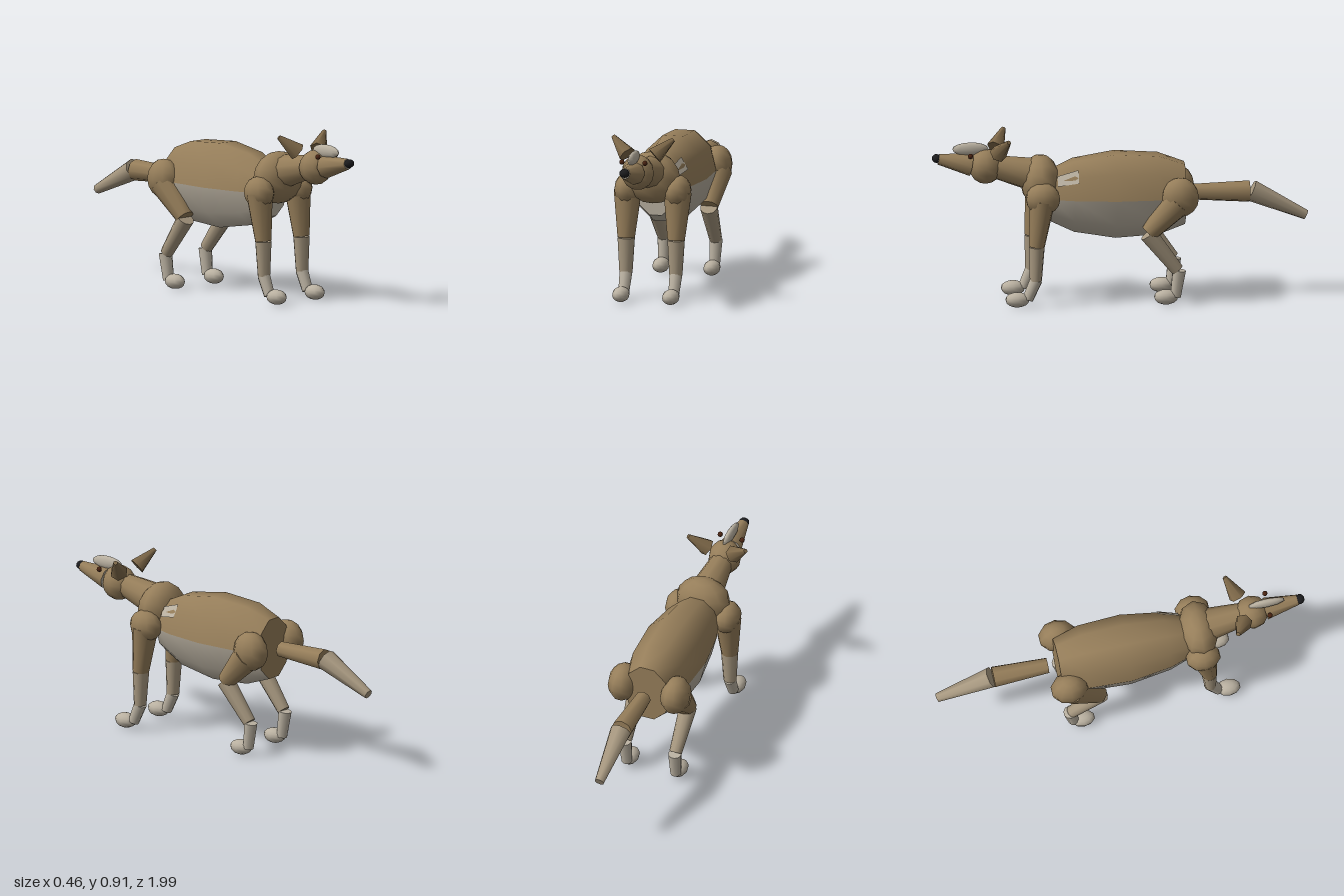
import * as THREE from 'three';

const mat = (color, side = THREE.FrontSide) => new THREE.MeshStandardMaterial({ color, side });
const tan = mat(0x967e5a), mid = mat(0xa6977f), pale = mat(0xbab1a1);
const earBrown = mat(0x806a4a), black = mat(0x1c1c1e), eyeBrown = mat(0x4a2412);
const V = (x, y, z) => new THREE.Vector3(x, y, z);

function add(parent, name, geometry, material) {
  const mesh = new THREE.Mesh(geometry, material);
  mesh.name = name;
  parent.add(mesh);
  return mesh;
}

// Ellipsoid with few sides
function ball(parent, name, material, c, r, ws = 10, hs = 8) {
  const m = add(parent, name, new THREE.SphereGeometry(1, ws, hs), material);
  m.position.set(...c);
  m.scale.set(...r);
  return m;
}

// Tapered limb from point a (radius ra) to point b (radius rb)
function limb(parent, name, material, a, b, ra, rb, sides = 10, sx = 1) {
  const p = V(...a), q = V(...b), d = q.clone().sub(p);
  const m = add(parent, name, new THREE.CylinderGeometry(rb, ra, d.length(), sides), material);
  m.position.copy(p).add(q).multiplyScalar(0.5);
  m.quaternion.setFromUnitVectors(V(0, 1, 0), d.normalize());
  m.scale.x = sx;
  return m;
}

// Slice of the barrel: rings are [z, rx, ry], angles in degrees from the left side
function barrel(parent, name, material, rings, from, to, n) {
  const pos = [], idx = [];
  rings.forEach(([z, rx, ry], i) => {
    for (let j = 0; j <= n; j++) {
      const t = THREE.MathUtils.degToRad(from + (to - from) * j / n);
      pos.push(rx * Math.cos(t), 0.575 + ry * Math.sin(t), z);
      if (i < rings.length - 1 && j < n) {
        const a = i * (n + 1) + j, c = a + n + 1;
        idx.push(a, c, a + 1, a + 1, c, c + 1);
      }
    }
  });
  const g = new THREE.BufferGeometry();
  g.setAttribute('position', new THREE.Float32BufferAttribute(pos, 3));
  g.setIndex(idx);
  g.computeVertexNormals();
  return add(parent, name, g, material);
}

function barrelCap(parent, name, material, [z, rx, ry], back) {
  const m = add(parent, name, new THREE.CircleGeometry(1, 10), material);
  m.position.set(0, 0.575, z);
  m.scale.set(rx, ry, 1);
  if (back) m.rotation.y = Math.PI;
}

export function createModel() {
  const model = new THREE.Group();
  model.name = 'dog';

  // Torso: tan back, pale belly, end caps and a small flank patch
  const rings = [[0.37, 0.11, 0.142], [0.25, 0.15, 0.2], [0.03, 0.182, 0.237],
    [-0.2, 0.172, 0.222], [-0.34, 0.13, 0.17]];
  barrel(model, 'back', tan, rings, 0, 180, 5);
  barrel(model, 'belly', pale, rings, 180, 360, 5);
  barrelCap(model, 'chestCap', pale, rings[0], false);
  barrelCap(model, 'rumpCap', tan, rings[4], true);
  barrel(model, 'flankPatch', pale, [[0.34, 0.126, 0.157], [0.23, 0.157, 0.205]], 27, 50, 1);

  // Chest and neck
  ball(model, 'chest', tan, [0, 0.655, 0.425], [0.152, 0.14, 0.107]);
  limb(model, 'neck', tan, [0, 0.69, 0.46], [0, 0.735, 0.66], 0.09, 0.063);

  // Head
  const head = new THREE.Group();
  head.name = 'head';
  model.add(head);
  ball(head, 'skull', tan, [0, 0.74, 0.715], [0.088, 0.093, 0.092]);
  limb(head, 'muzzle', tan, [0, 0.75, 0.79], [0, 0.783, 0.965], 0.062, 0.029, 8).material = [tan, pale, pale];
  ball(head, 'nose', black, [0, 0.787, 0.975], [0.028, 0.023, 0.025]);
  ball(head, 'blaze', pale, [0, 0.834, 0.795], [0.02, 0.036, 0.1]);

  // Tail
  limb(model, 'tailBase', tan, [0, 0.578, -0.39], [0, 0.575, -0.685], 0.043, 0.058, 8);
  limb(model, 'tailTip', mid, [0, 0.578, -0.695], [0, 0.44, -0.985], 0.058, 0.026, 8);

  for (const s of [1, -1]) {
    const side = s > 0 ? 'left' : 'right';

    // Eye and ear
    ball(head, side + 'Eye', eyeBrown, [s * 0.063, 0.81, 0.8], [0.014, 0.014, 0.014]);
    limb(head, side + 'Ear', earBrown, [s * 0.075, 0.822, 0.655], [s * 0.165, 0.905, 0.605], 0.048, 0.012, 6);

    // Front leg
    const front = new THREE.Group();
    front.name = side + 'FrontLeg';
    model.add(front);
    const x = s * 0.137;
    ball(front, 'shoulder', tan, [x, 0.588, 0.422], [0.073, 0.085, 0.094]);
    limb(front, 'upperArm', tan, [x, 0.58, 0.425], [x, 0.33, 0.455], 0.068, 0.042, 10, 1.1);
    limb(front, 'forearm', mid, [x, 0.328, 0.455], [x, 0.145, 0.46], 0.042, 0.032, 10, 1.1);
    limb(front, 'pastern', pale, [x, 0.148, 0.458], [x, 0.045, 0.503], 0.034, 0.029);
    ball(front, 'paw', pale, [x, 0.043, 0.558], [0.046, 0.04, 0.065]);

    // Hind leg
    const hind = new THREE.Group();
    hind.name = side + 'HindLeg';
    model.add(hind);
    const hx = s * 0.15;
    ball(hind, 'hip', tan, [hx, 0.585, -0.305], [0.08, 0.105, 0.102]);
    limb(hind, 'thigh', tan, [hx, 0.56, -0.29], [hx, 0.395, -0.14], 0.082, 0.048);
    limb(hind, 'shank', mid, [hx, 0.39, -0.135], [s * 0.143, 0.19, -0.29], 0.047, 0.034);
    limb(hind, 'hock', pale, [s * 0.143, 0.188, -0.3], [s * 0.14, 0.045, -0.28], 0.036, 0.029);
    ball(hind, 'paw', pale, [s * 0.14, 0.043, -0.23], [0.045, 0.04, 0.065]);
  }
  return model;
}
